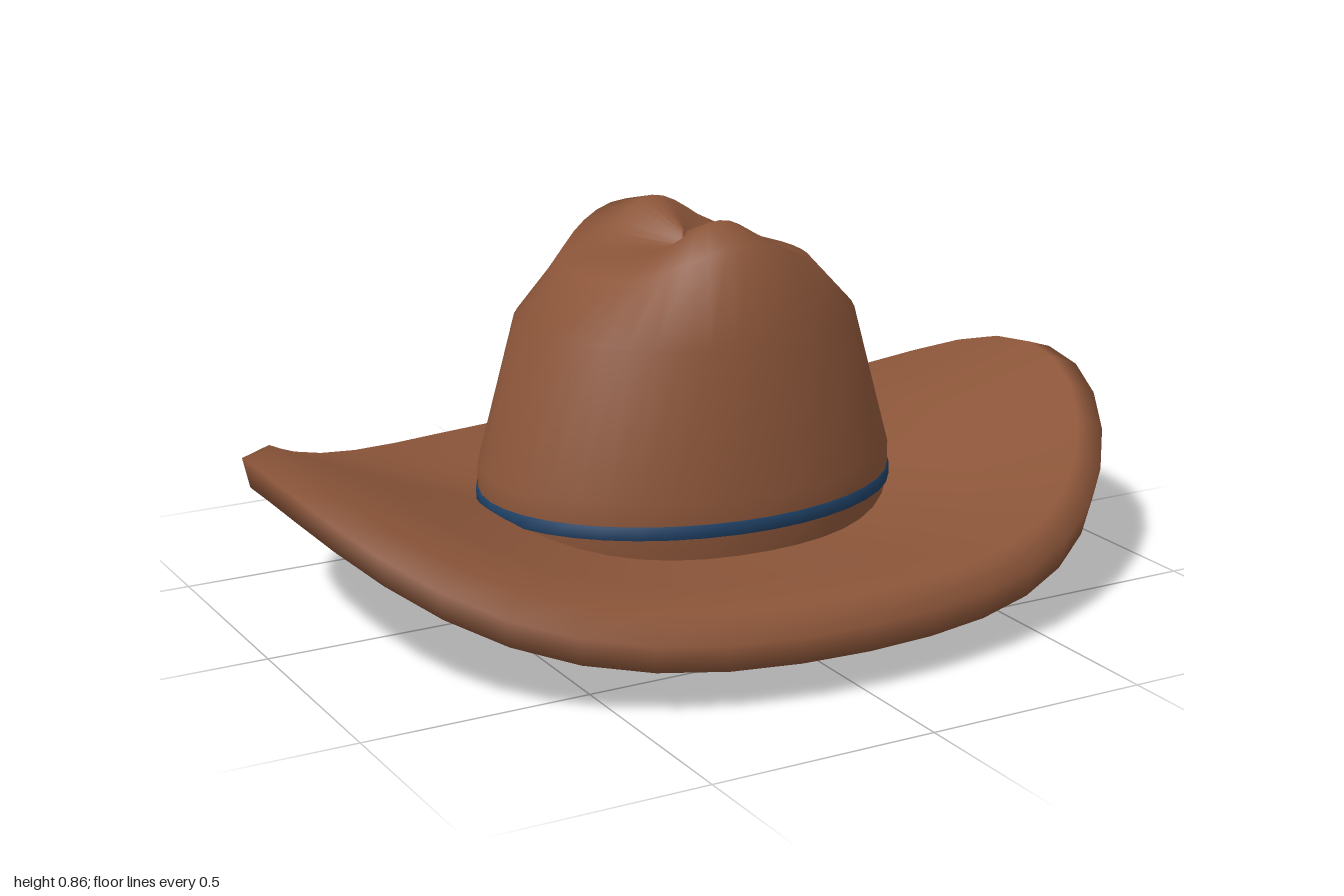
import * as THREE from 'three';

const SEGMENTS = 40;

// Skin elliptical rings [rx, rz, y, sideLift, endLift] listed from the bottom up.
// sideLift raises the ring toward +-x, endLift raises it toward +-z.
function loft(rings) {
  const positions = [];
  const index = [];
  rings.forEach(([rx, rz, y, sideLift = 0, endLift = 0], i) => {
    for (let j = 0; j < SEGMENTS; j++) {
      const a = (j / SEGMENTS) * Math.PI * 2;
      const c = Math.cos(a);
      const s = Math.sin(a);
      positions.push(rx * c, y + sideLift * c ** 4 + endLift * s ** 4, rz * s);
      if (i === rings.length - 1) continue;
      const k = (j + 1) % SEGMENTS;
      const a0 = i * SEGMENTS + j;
      const b0 = i * SEGMENTS + k;
      const a1 = a0 + SEGMENTS;
      const b1 = b0 + SEGMENTS;
      if (rx > 0) index.push(a0, a1, b0);
      if (rings[i + 1][0] > 0) index.push(b0, a1, b1);
    }
  });
  const geometry = new THREE.BufferGeometry();
  geometry.setAttribute('position', new THREE.Float32BufferAttribute(positions, 3));
  geometry.setIndex(index);
  geometry.computeVertexNormals();
  return geometry;
}

export function createModel() {
  const hat = new THREE.Group();
  hat.name = 'hat';

  const felt = new THREE.MeshStandardMaterial({ color: 0x8b5539 });
  felt.name = 'brown felt';
  const ribbon = new THREE.MeshStandardMaterial({ color: 0x1f4166 });
  ribbon.name = 'blue ribbon';

  const add = (name, rings, material) => {
    const mesh = new THREE.Mesh(loft(rings), material);
    mesh.name = name;
    hat.add(mesh);
  };

  // Brim: closed underside, rolled edge, upper face; sides curl up with the radius
  const brimRing = (t, y) => [t, t * 0.78, y, 0.265 * t * t];
  add('brim', [
    brimRing(0, 0.02),
    brimRing(0.335, 0.0),
    brimRing(0.77, 0.045),
    brimRing(0.985, 0.09),
    brimRing(1, 0.15),
    brimRing(0.94, 0.2),
    brimRing(0.7, 0.188),
    brimRing(0.46, 0.18),
  ], felt);

  // Crown: tapering wall, front and back peaks, pinched dent in the middle
  add('crown', [
    [0.47, 0.365, 0.17],
    [0.48, 0.375, 0.24],
    [0.48, 0.375, 0.31],
    [0.385, 0.34, 0.63],
    [0.275, 0.27, 0.745, 0, 0.085],
    [0.17, 0.15, 0.775, 0, 0.085],
    [0.012, 0.01, 0.768, 0, 0.042],
    [0, 0, 0.765],
  ], felt);

  // Hat band around the foot of the crown
  add('hatBand', [
    [0.474, 0.369, 0.23],
    [0.484, 0.379, 0.232],
    [0.484, 0.379, 0.26],
    [0.474, 0.369, 0.262],
  ], ribbon);

  return hat;
}
